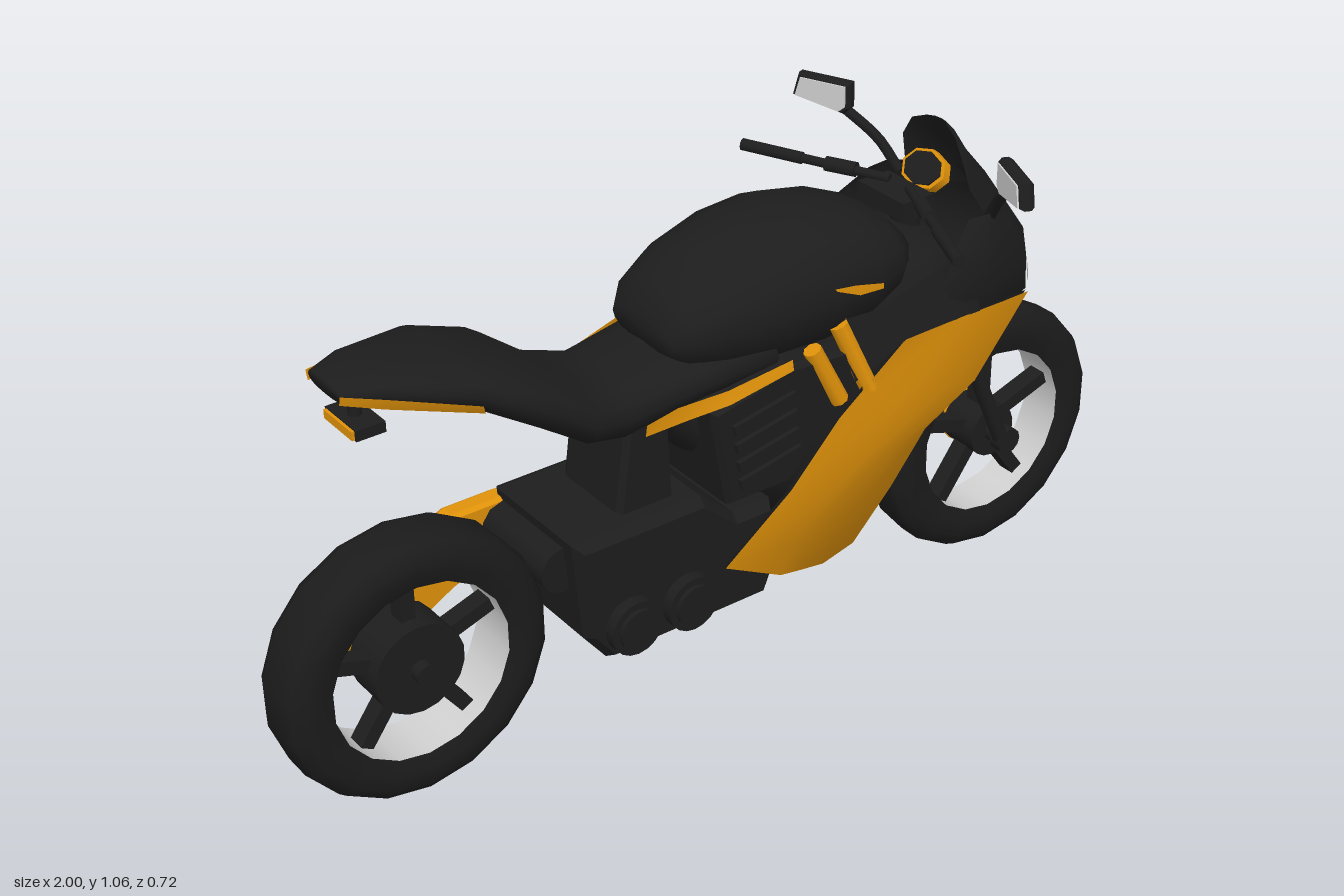
import * as THREE from 'three';

const mat = (name, color) => new THREE.MeshStandardMaterial({ name, color, side: THREE.DoubleSide });

export function createModel() {
  const M = {
    body: mat('charcoal body', 0x1d1d1d), tyre: mat('black rubber', 0x1b1b1b),
    orange: mat('orange paint', 0xe0920a), silver: mat('silver', 0xd0d0d0),
  };
  const bike = new THREE.Group();
  bike.name = 'motorcycle';

  const add = (name, geo, material, parent = bike) => {
    const m = new THREE.Mesh(geo, material);
    m.name = name;
    parent.add(m);
    return m;
  };
  const both = (name, geo, material) => {
    add(name + 'Right', geo, material);
    add(name + 'Left', geo, material).scale.z = -1;
  };

  // Surface through rows of [x, y, z] points
  const patch = (rows, closed = false) => {
    const n = rows[0].length, index = [];
    for (let r = 0; r < rows.length - 1; r++)
      for (let c = 0; c < (closed ? n : n - 1); c++) {
        const a = r * n + c, b = r * n + (c + 1) % n;
        index.push(a, b, a + n, b, b + n, a + n);
      }
    const g = new THREE.BufferGeometry();
    g.setAttribute('position', new THREE.Float32BufferAttribute(rows.flat(2), 3));
    g.setIndex(index);
    g.computeVertexNormals();
    return g;
  };
  // Closed rounded hull through sections [x, yBottom, yTop, halfWidth]
  const hull = (sections, power = 0.8, sides = 16) => {
    const ring = ([x, y0, y1, hw], k = 1) => Array.from({ length: sides }, (_, i) => {
      const a = i / sides * Math.PI * 2, c = Math.cos(a), s = Math.sin(a);
      return [x, (y0 + y1) / 2 + k * (y1 - y0) / 2 * Math.sign(s) * Math.abs(s) ** power,
        k * hw * Math.sign(c) * Math.abs(c) ** power];
    });
    return patch([ring(sections[0], 0), ...sections.map(s => ring(s)), ring(sections.at(-1), 0)], true);
  };
  // Shell wrapped round the front: rows [y, [x, z], ...] from the centre outwards
  const wrap = rows => patch(rows.map(([y, ...p]) => [
    ...p.slice(1).reverse().map(([x, z]) => [x, y, -z]), ...p.map(([x, z]) => [x, y, z])]));
  // Side outline extruded across the bike, centred on z
  const slab = (pts, depth, bevel = 0.015) => {
    const g = new THREE.ExtrudeGeometry(new THREE.Shape(pts.map(p => new THREE.Vector2(...p))), {
      depth: depth - 2 * bevel, bevelEnabled: bevel > 0, bevelSize: bevel * 0.6, bevelThickness: bevel,
      bevelOffset: -bevel * 0.6, bevelSegments: 1 });
    return g.translate(0, 0, bevel - depth / 2);
  };
  const rod = (a, b, r, sides = 10) => {
    const p = new THREE.Vector3(...a), d = new THREE.Vector3(...b).sub(p);
    const g = new THREE.CylinderGeometry(r, r, d.length(), sides);
    g.applyQuaternion(new THREE.Quaternion().setFromUnitVectors(new THREE.Vector3(0, 1, 0), d.clone().normalize()));
    return g.translate(...p.addScaledVector(d, 0.5).toArray());
  };
  const disc = (x, y, z, r, depth, sides = 18) =>
    new THREE.CylinderGeometry(r, r, depth, sides).rotateX(Math.PI / 2).translate(x, y, z);

  // Wheels: tyre, rim barrel, hub and five spokes
  const wheel = (name, x, t, hubR) => {
    const w = new THREE.Group();
    w.name = name;
    w.position.set(x, 0.288, 0);
    bike.add(w);
    const profile = [[0.192, -t * 0.85], [0.222, -t], [0.254, -t], [0.279, -t * 0.75], [0.288, -t * 0.45]];
    const pts = [...profile, ...profile.map(([r, y]) => [r, -y]).reverse()].map(p => new THREE.Vector2(...p));
    add('tyre', new THREE.LatheGeometry(pts, 18).rotateX(Math.PI / 2), M.tyre, w);
    add('rim', new THREE.CylinderGeometry(0.192, 0.192, t * 1.7, 18, 1, true).rotateX(Math.PI / 2), M.silver, w);
    add('hub', disc(0, 0, 0, hubR, 0.1), M.body, w);
    add('axle', disc(0, 0, 0, 0.022, 0.15, 12), M.body, w);
    for (let i = 0; i < 5; i++)
      add('spoke', new THREE.BoxGeometry(0.03, 0.15, 0.04).translate(0, 0.118, 0).rotateZ(i * Math.PI * 0.4), M.body, w);
    return w;
  };
  const frontWheel = wheel('frontWheel', 0.722, 0.058, 0.06);
  add('hubRing', disc(0, 0, -0.044, 0.062, 0.005), M.orange, frontWheel);
  wheel('rearWheel', -0.724, 0.07, 0.097);

  // Fork legs
  both('forkLeg', rod([0.72, 0.27, 0.09], [0.53, 0.7, 0.09], 0.017), M.body);
  both('forkFoot', disc(0.722, 0.287, 0.09, 0.03, 0.03, 12), M.body);

  // Central body, tank and tail
  add('bodyCore', hull([[-0.2, 0.64, 0.78, 0.12], [0, 0.42, 0.82, 0.16], [0.15, 0.27, 0.85, 0.165], [0.3, 0.28, 0.87, 0.155],
    [0.35, 0.33, 0.87, 0.145], [0.42, 0.6, 0.87, 0.17], [0.58, 0.67, 0.82, 0.12]]), M.body);
  add('tank', hull([[-0.165, 0.78, 0.84, 0.1], [-0.135, 0.74, 0.9, 0.13], [-0.06, 0.72, 0.945, 0.16], [0.06, 0.7, 0.98, 0.18],
    [0.17, 0.7, 0.985, 0.188], [0.28, 0.71, 0.965, 0.174], [0.36, 0.75, 0.93, 0.15], [0.42, 0.78, 0.88, 0.1]], 0.9), M.body);
  add('seatAndTail', hull([[-0.838, 0.905, 0.935, 0.06], [-0.77, 0.885, 0.948, 0.09], [-0.61, 0.835, 0.93, 0.145],
    [-0.48, 0.75, 0.88, 0.168], [-0.375, 0.675, 0.8, 0.155], [-0.28, 0.645, 0.775, 0.13],
    [-0.12, 0.68, 0.79, 0.145], [0.04, 0.7, 0.8, 0.16]]), M.body);

  // Side panels with a dark liner, belly and bulkhead between them
  const panel = [
    [[0.31, 0.725, 0.217], [0.47, 0.722, 0.209], [0.6, 0.705, 0.186], [0.7, 0.682, 0.153]],
    [[0.15, 0.6, 0.212], [0.32, 0.6, 0.22], [0.44, 0.57, 0.208], [0.535, 0.54, 0.183]],
    [[0.04, 0.47, 0.202], [0.2, 0.47, 0.208], [0.33, 0.462, 0.19], [0.42, 0.457, 0.165]],
    [[-0.11, 0.34, 0.188], [0.06, 0.33, 0.187], [0.23, 0.32, 0.16], [0.37, 0.31, 0.12]],
    [[0.05, 0.243, 0.16], [0.14, 0.195, 0.115], [0.23, 0.152, 0.075], [0.345, 0.137, 0.035]],
  ];
  const flip = row => row.map(([x, y, z]) => [x, y, -z]);
  both('sidePanel', patch(panel), M.orange);
  both('sidePanelLiner', patch(panel.map(r => r.map(([x, y, z]) => [x, y, z - 0.008]))), M.body);
  const belly = panel[4].map(([x, y, z]) => [x, y + 0.004, z - 0.005]);
  add('belly', patch([belly, flip(belly)]), M.body);
  const front = panel.map(r => r[3]).map(([x, y, z]) => [x - 0.015, y, z - 0.006]);
  add('bulkhead', patch([front, flip(front)]), M.body);
  both('upperSideCover', patch([
    [[0.2, 0.66, 0.2], [0.31, 0.727, 0.22], [0.42, 0.725, 0.214], [0.52, 0.715, 0.202]],
    [[0.16, 0.79, 0.17], [0.27, 0.8, 0.195], [0.4, 0.83, 0.187], [0.5, 0.85, 0.18]]]), M.body);

  // Nose shell and windscreen
  add('noseFairing', wrap([
    [0.67, [0.765, 0], [0.755, 0.05], [0.68, 0.138], [0.5, 0.175], [0.35, 0.18]],
    [0.69, [0.785, 0], [0.775, 0.055], [0.695, 0.15], [0.52, 0.188], [0.33, 0.188]],
    [0.77, [0.78, 0], [0.77, 0.055], [0.69, 0.15], [0.53, 0.203], [0.4, 0.197]],
    [0.85, [0.725, 0], [0.71, 0.06], [0.65, 0.14], [0.55, 0.19], [0.46, 0.18]],
    [0.9, [0.68, 0], [0.67, 0.06], [0.63, 0.12], [0.57, 0.16], [0.52, 0.155]]]), M.body);
  add('windscreen', wrap([
    [0.85, [0.728, 0], [0.714, 0.05], [0.665, 0.09], [0.62, 0.11]],
    [0.93, [0.665, 0], [0.655, 0.05], [0.61, 0.09], [0.57, 0.1]],
    [0.99, [0.615, 0], [0.605, 0.045], [0.58, 0.083], [0.555, 0.092]],
    [1.035, [0.585, 0], [0.58, 0.035], [0.565, 0.06], [0.555, 0.066]],
    [1.05, [0.574, 0], [0.572, 0.015], [0.566, 0.025], [0.562, 0.03]]]), M.body);
  both('headlight', patch([
    [[0.782, 0.695, 0.058], [0.707, 0.695, 0.143]],
    [[0.782, 0.707, 0.058], [0.706, 0.717, 0.144]]]), M.silver);

  // Instrument pod with a coloured rim
  const dash = new THREE.Group();
  dash.name = 'instruments';
  dash.position.set(0.54, 0.945, 0);
  dash.rotation.z = 0.9;
  bike.add(dash);
  add('dashRim', new THREE.CylinderGeometry(0.062, 0.062, 0.02, 8).scale(0.7, 1, 1), M.orange, dash);
  add('dashFace', new THREE.CylinderGeometry(0.052, 0.052, 0.028, 8).scale(0.7, 1, 1), M.body, dash);

  // Handlebars and mirrors
  both('handlebar', rod([0.47, 0.935, 0.03], [0.33, 0.938, 0.337], 0.01), M.body);
  both('grip', rod([0.387, 0.937, 0.21], [0.33, 0.938, 0.337], 0.013), M.body);
  both('switchBlock', rod([0.44, 0.937, 0.1], [0.41, 0.937, 0.16], 0.016), M.body);
  add('barClamp', new THREE.BoxGeometry(0.08, 0.04, 0.14).translate(0.46, 0.91, 0), M.body);
  add('steeringStem', rod([0.47, 0.92, 0], [0.53, 0.7, 0], 0.03), M.body);
  const stem = new THREE.CatmullRomCurve3([[0.59, 0.88, 0.14], [0.57, 0.94, 0.185], [0.54, 0.985, 0.24], [0.53, 1.0, 0.27]]
    .map(p => new THREE.Vector3(...p)));
  both('mirrorStem', new THREE.TubeGeometry(stem, 8, 0.012, 6), M.body);
  const outline = [[0.07, -0.018], [0.056, 0.034], [-0.067, 0.034], [-0.067, -0.022], [-0.05, -0.038]];
  const place = g => g.rotateY(-Math.PI / 2 - 0.4).translate(0.51, 1.025, 0.293);
  both('mirrorShell', place(slab(outline, 0.03, 0.008)), M.body);
  both('mirrorGlass', place(slab(outline.map(([x, y]) => [x * 0.86, y * 0.8]), 0.005, 0).translate(0, 0, 0.016)), M.silver);

  // Motor case, round covers, frame and battery vents
  add('motorCase', slab([[-0.43, 0.49], [-0.13, 0.49], [-0.05, 0.42], [0.04, 0.42], [0.055, 0.29], [0.02, 0.205],
    [-0.36, 0.205], [-0.41, 0.27]], 0.31, 0.025), M.body);
  for (const x of [-0.315, -0.18]) {
    both('motorCover', disc(x, 0.28, 0.16, 0.06, 0.04), M.body);
    both('motorCoverCap', disc(x, 0.28, 0.175, 0.045, 0.03), M.body);
  }
  add('seatFrame', slab([[-0.27, 0.69], [-0.175, 0.69], [-0.165, 0.47], [-0.3, 0.47]], 0.2), M.body);
  add('batteryBox', slab([[-0.14, 0.7], [0.05, 0.74], [0.3, 0.72], [0.16, 0.6], [0.05, 0.48], [-0.1, 0.48]], 0.38), M.body);
  for (let i = 0; i < 4; i++)
    both('ventFin', new THREE.BoxGeometry(0.15, 0.022, 0.02).rotateZ(0.18)
      .translate(-0.02 + i * 0.005, 0.665 - i * 0.042, 0.19), M.body);

  // Coloured bars and trim
  both('rearBar', rod([0.105, 0.755, 0.18], [0.165, 0.63, 0.194], 0.019, 8), M.orange);
  both('frontBar', rod([0.175, 0.785, 0.172], [0.235, 0.635, 0.2], 0.02, 8), M.orange);
  both('seatTrim', patch([
    [[-0.26, 0.7, 0.145], [-0.2, 0.725, 0.162], [-0.1, 0.737, 0.184], [0.05, 0.756, 0.19]],
    [[-0.26, 0.673, 0.14], [-0.18, 0.692, 0.165], [-0.1, 0.71, 0.192], [0.05, 0.734, 0.194]]]), M.orange);
  both('tailTrim', patch([
    [[-0.842, 0.927, 0.061], [-0.77, 0.913, 0.096], [-0.61, 0.868, 0.149]],
    [[-0.842, 0.908, 0.056], [-0.77, 0.89, 0.088], [-0.6, 0.845, 0.138]]]), M.orange);
  both('tankTrim', patch([
    [[0.15, 0.876, 0.192], [0.2, 0.87, 0.194], [0.28, 0.845, 0.182]],
    [[0.155, 0.87, 0.193], [0.21, 0.846, 0.195], [0.28, 0.834, 0.183]]]), M.orange);

  // Plate holder under the tail
  add('plateStay', rod([-0.785, 0.9, 0], [-0.785, 0.84, 0], 0.013), M.body);
  add('plateHolder', new THREE.BoxGeometry(0.06, 0.022, 0.11).translate(-0.785, 0.835, 0), M.body);
  add('rearReflector', new THREE.BoxGeometry(0.006, 0.018, 0.1).translate(-0.818, 0.835, 0), M.orange);

  // Single-sided swingarm with axle cap
  add('swingarm', slab([[-0.42, 0.475], [-0.54, 0.475], [-0.67, 0.415], [-0.79, 0.305], [-0.785, 0.25], [-0.745, 0.23],
    [-0.69, 0.235], [-0.62, 0.27], [-0.55, 0.31], [-0.42, 0.36]], 0.05, 0.01).translate(0, 0, -0.135), M.orange);
  add('swingarmPivot', rod([-0.43, 0.42, -0.14], [-0.43, 0.42, 0.1], 0.05), M.body);
  add('axleCap', disc(-0.735, 0.285, -0.16, 0.032, 0.02, 12), M.body);

  // Bike stands turned slightly about the vertical
  bike.rotation.y = -Math.PI / 20;
  bike.position.z = -0.07;
  const model = new THREE.Group();
  model.add(bike);
  return model;
}
